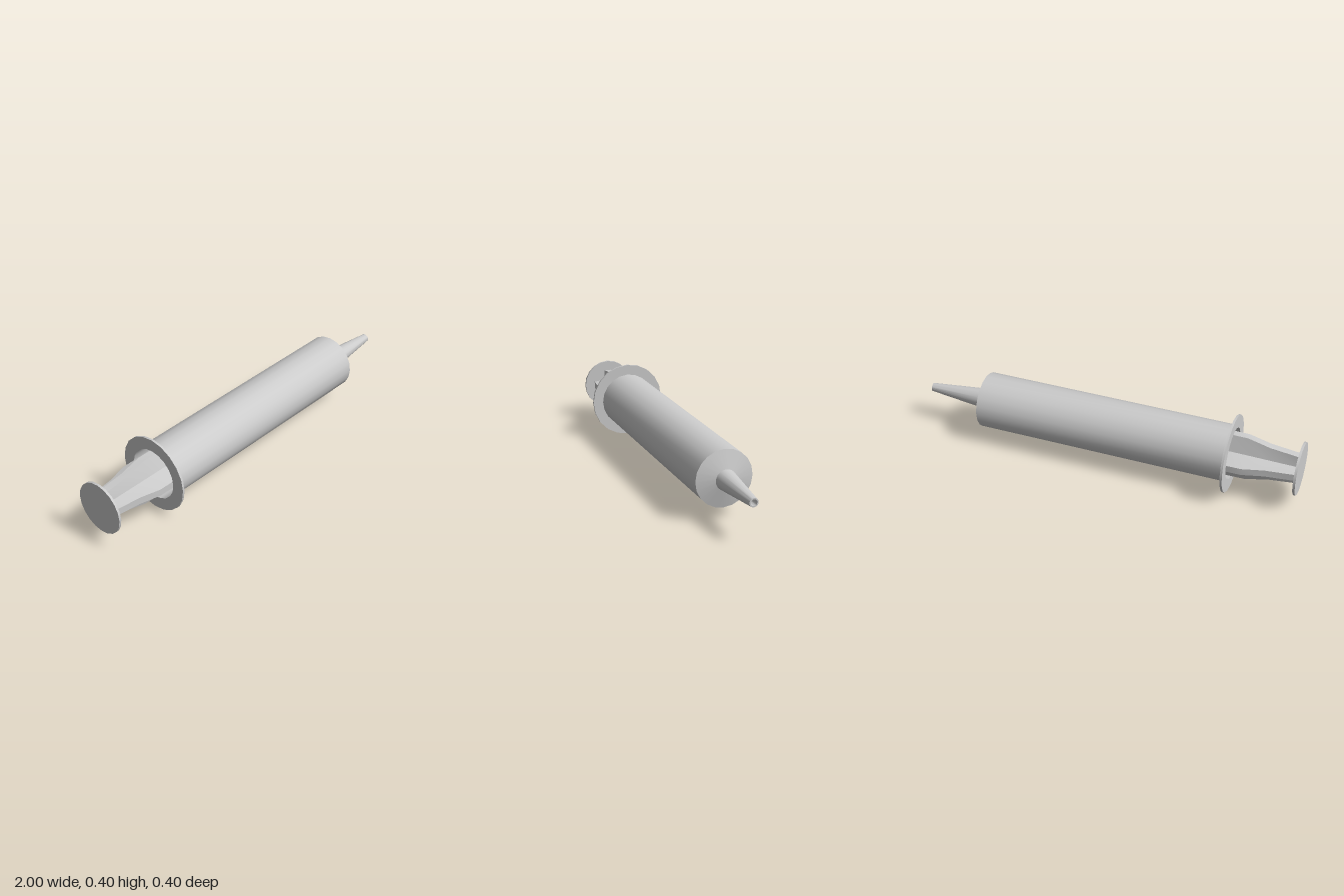
import * as THREE from 'three';
import { toCreasedNormals } from 'three/addons/utils/BufferGeometryUtils.js';

const SIDES = 20;
const CREASE = 0.5;
const AXIS_HEIGHT = 0.1985;

// Revolves [x, radius] points around the x axis
function revolve(name, profile, material) {
  const points = profile.map(([x, r]) => new THREE.Vector2(r, x));
  const geometry = new THREE.LatheGeometry(points, SIDES);
  geometry.rotateZ(-Math.PI / 2);
  const mesh = new THREE.Mesh(toCreasedNormals(geometry, CREASE), material);
  mesh.name = name;
  return mesh;
}

// Lofts a four-ribbed cross through stations [x, rib reach, half tip width, valley offset]
function ribbedShaft(stations) {
  const positions = [];
  const index = [];
  for (const [x, reach, tip, valley] of stations) {
    for (let k = 0; k < 4; k++) {
      const c = Math.round(Math.cos(k * Math.PI / 2));
      const s = Math.round(Math.sin(k * Math.PI / 2));
      for (const [y, z] of [[reach, -tip], [reach, tip], [valley, valley]]) {
        positions.push(x, y * c - z * s, y * s + z * c);
      }
    }
  }
  const n = 12;
  for (let i = 0; i < stations.length - 1; i++) {
    for (let j = 0; j < n; j++) {
      const a = i * n + j;
      const b = i * n + (j + 1) % n;
      index.push(a, b, b + n, a, b + n, a + n);
    }
  }
  const geometry = new THREE.BufferGeometry();
  geometry.setAttribute('position', new THREE.Float32BufferAttribute(positions, 3));
  geometry.setIndex(index);
  return toCreasedNormals(geometry, 0.25);
}

export function createModel() {
  const material = new THREE.MeshStandardMaterial({ color: 0xcccccc });
  const model = new THREE.Group();
  model.name = 'syringe';

  // Hollow barrel with finger flange, sloped shoulder and open nozzle
  model.add(revolve('barrel', [
    [-0.655, 0.134], [-0.655, 0.1985], [-0.644, 0.1985], [-0.644, 0.144],
    [0.68, 0.144], [0.703, 0.052], [1.0, 0.022],
    [1.0, 0.016], [0.69, 0.042], [0.67, 0.134], [-0.655, 0.134],
  ], material));

  // Plunger: thumb disc, ribbed shaft and piston
  const plunger = new THREE.Group();
  plunger.name = 'plunger';
  plunger.add(revolve('thumbDisc', [
    [-1.0, 0], [-1.0, 0.134], [-0.988, 0.134], [-0.988, 0],
  ], material));

  const shaft = new THREE.Mesh(ribbedShaft([
    [-0.99, 0.08, 0.018, 0.024],
    [-0.84, 0.098, 0.018, 0.034],
    [-0.73, 0.127, 0.018, 0.042],
    [-0.64, 0.128, 0.018, 0.046],
    [0.56, 0.128, 0.018, 0.046],
  ]), material);
  shaft.name = 'ribbedShaft';
  plunger.add(shaft);

  plunger.add(revolve('piston', [
    [0.55, 0], [0.55, 0.132], [0.65, 0.132], [0.66, 0],
  ], material));
  model.add(plunger);

  model.position.y = AXIS_HEIGHT;
  const root = new THREE.Group();
  root.add(model);
  return root;
}
